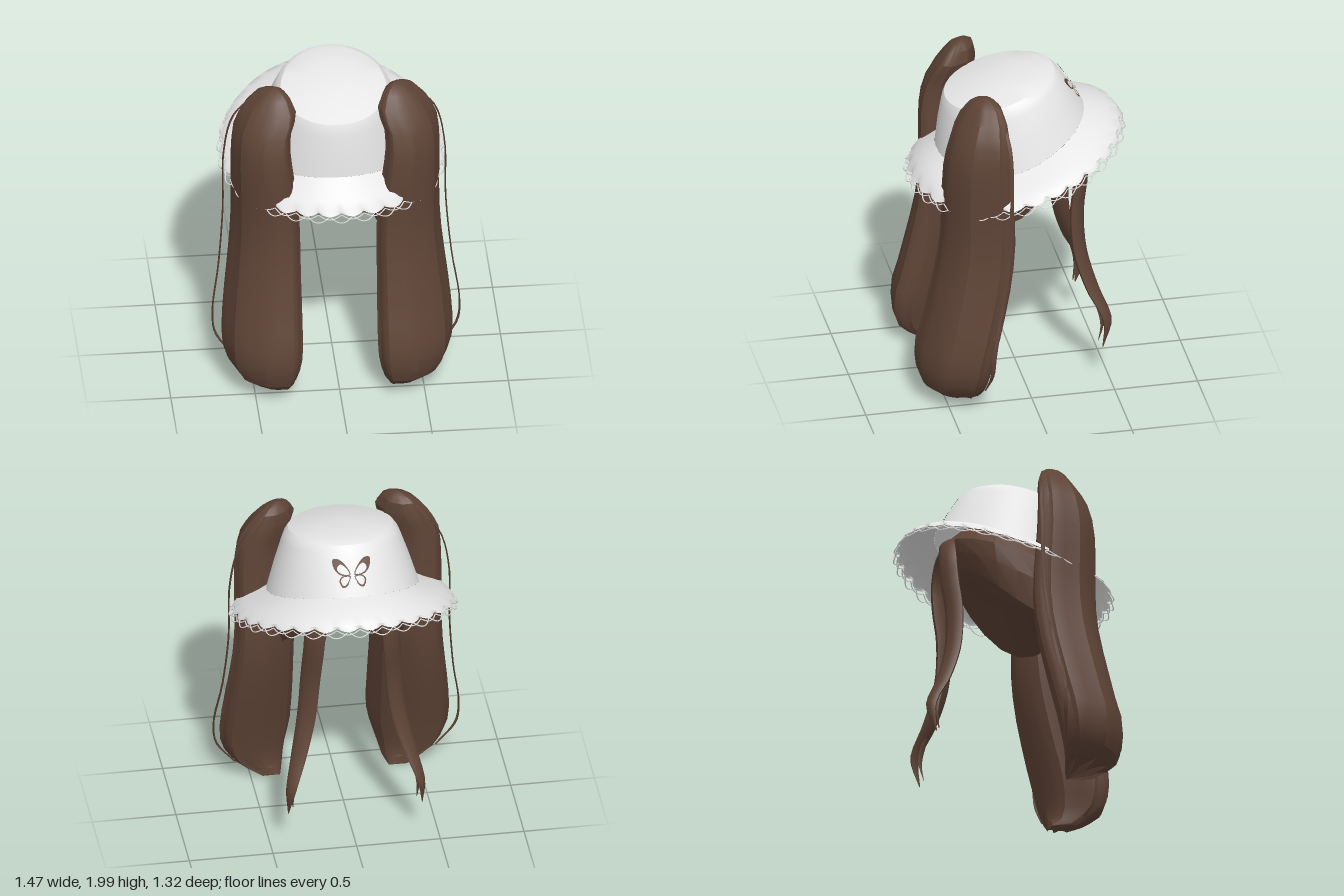
import * as THREE from 'three';
import { toCreasedNormals } from 'three/addons/utils/BufferGeometryUtils.js';

const TAU = Math.PI * 2;

// Skin between closed cross-sections listed from top to bottom; side -1 mirrors in x.
function loft(rings, crease = 0.5, side = 1) {
  const pos = [];
  const tri = (a, b, c) => {
    if (a.distanceTo(b) < 1e-5 || b.distanceTo(c) < 1e-5 || a.distanceTo(c) < 1e-5) return;
    for (const p of side > 0 ? [a, b, c] : [a, c, b]) pos.push(p.x * side, p.y, p.z);
  };
  for (let r = 0; r < rings.length - 1; r++) {
    const up = rings[r], low = rings[r + 1], n = up.length;
    for (let i = 0; i < n; i++) {
      const j = (i + 1) % n;
      tri(up[i], up[j], low[i]);
      tri(up[j], low[j], low[i]);
    }
  }
  const g = new THREE.BufferGeometry();
  g.setAttribute('position', new THREE.Float32BufferAttribute(pos, 3));
  g.computeVertexNormals();
  return toCreasedNormals(g, crease);
}

// Point on a tilted oval: [zFront, yFront, zBack, yBack, halfWidth, sideSag]
function ovalPoint([zf, yf, zb, yb, rx, sag], t, out = 0, drop = 0) {
  const c = Math.cos(t), s = Math.sin(t);
  return new THREE.Vector3(
    (rx + out) * s,
    (yf + yb) / 2 + (yf - yb) / 2 * c - sag * s * s * (1 - 0.5 * c) - drop,
    (zf + zb) / 2 + ((zf - zb) / 2 - out) * c);
}

function ovalRing(spec, n, scallop = 0, drop = 0) {
  return Array.from({ length: n }, (_, i) => {
    const t = i / n * TAU, w = Math.abs(Math.sin(t * 15));
    return ovalPoint(spec, t, w * scallop, drop * (0.5 + w * 0.5));
  });
}

// Horizontal rings for slim locks: [x, y, z, halfX, halfZ]; skew flattens them on the diagonal
function lockRings(path, skew = 0, n = 10) {
  const curve = new THREE.CatmullRomCurve3(path.map(p => new THREE.Vector3(p[0], p[1], p[2])));
  const steps = 30;
  return Array.from({ length: steps + 1 }, (_, k) => {
    const f = k / steps * (path.length - 1), a = Math.min(Math.floor(f), path.length - 2), u = f - a;
    const c = curve.getPoint(k / steps);
    const hx = THREE.MathUtils.lerp(path[a][3], path[a + 1][3], u);
    const hz = THREE.MathUtils.lerp(path[a][4], path[a + 1][4], u);
    return Array.from({ length: n }, (_, i) => {
      const t = i / n * TAU;
      return new THREE.Vector3(c.x + hx * Math.sin(t), c.y, c.z - hz * Math.cos(t + skew));
    });
  });
}

// Pigtail sections: [y, xInner, xOuter, zFront, zBack]
const TAIL = [
  [1.995, 0.335, 0.385, 0.225, 0.265], [1.98, 0.305, 0.425, 0.195, 0.305], [1.95, 0.275, 0.47, 0.165, 0.34],
  [1.88, 0.245, 0.535, 0.145, 0.39], [1.82, 0.255, 0.57, 0.14, 0.425], [1.75, 0.28, 0.6, 0.138, 0.455],
  [1.65, 0.285, 0.612, 0.134, 0.485], [1.55, 0.275, 0.617, 0.13, 0.5], [1.4, 0.255, 0.617, 0.12, 0.505],
  [1.25, 0.238, 0.615, 0.11, 0.505], [1.1, 0.23, 0.617, 0.108, 0.51], [0.95, 0.228, 0.626, 0.12, 0.527],
  [0.8, 0.228, 0.642, 0.143, 0.556], [0.65, 0.226, 0.66, 0.175, 0.59], [0.5, 0.225, 0.675, 0.21, 0.625],
  [0.38, 0.225, 0.682, 0.24, 0.66], [0.28, 0.23, 0.676, 0.262, 0.668], [0.2, 0.245, 0.65, 0.28, 0.66],
  [0.13, 0.265, 0.605, 0.295, 0.635], [0.075, 0.283, 0.535, 0.305, 0.575], [0.035, 0.3, 0.45, 0.312, 0.48],
];

function tailRings() {
  const n = 32, skew = -0.48; // sections lean from inner back to outer front
  const soft = v => Math.sign(v) * Math.pow(Math.abs(v), 0.85);
  const rings = TAIL.map(([y, xi, xo, zf, zb], r) => Array.from({ length: n }, (_, i) => {
    const t = i / n * TAU;
    const k = 1.015 - 0.06 * (i % 4) / 3; // stepped, overlapping locks
    const jag = r === TAIL.length - 1 ? (i % 4) * 0.012 - 0.015 : 0; // ragged ends
    return new THREE.Vector3(
      (xi + xo) / 2 + (xo - xi) / 2 * soft(Math.sin(t)) * k,
      y + jag,
      (zf + zb) / 2 - (zb - zf) / 2 * soft(Math.cos(t + skew)) * k);
  }));
  const cap = (x, y, z) => Array.from({ length: n }, () => new THREE.Vector3(x, y, z));
  return [cap(0.36, 2.0, 0.245), ...rings, cap(0.325, 0.01, 0.33)];
}

// Wing outline drawn flat, with a hole so that only the border is coloured
function wingGeometry(outer, inner, side) {
  const loop = pts => new THREE.CatmullRomCurve3(
    pts.map(p => new THREE.Vector3(p[0] * side, p[1], 0)), true).getPoints(28)
    .map(p => new THREE.Vector2(p.x, p.y));
  const shape = new THREE.Shape(loop(outer));
  shape.holes.push(new THREE.Path(loop(inner)));
  const g = new THREE.ShapeGeometry(shape);
  const p = g.attributes.position;
  // lay the plate on the sloping, curved crown
  for (let i = 0; i < p.count; i++) {
    const u = p.getX(i), v = p.getY(i);
    p.setXYZ(i, u, 1.832 + v * 0.85, -0.343 + v * 0.54 + 1.25 * u * u);
  }
  g.computeVertexNormals();
  return g;
}

export function createModel() {
  const model = new THREE.Group();
  const mat = (name, color) => {
    const m = new THREE.MeshStandardMaterial({ color, side: THREE.DoubleSide });
    m.name = name;
    return m;
  };
  const white = mat('hatWhite', 0xe6e6e6);
  const brown = mat('hairBrown', 0x5e4336);
  const add = (name, geometry, material) => {
    const mesh = new THREE.Mesh(geometry, material);
    mesh.name = name;
    model.add(mesh);
  };

  // Hat: crown, flared brim with scalloped lip, and lace loops
  const base = [-0.41, 1.71, 0.47, 1.49, 0.45, 0.08];
  const edge = [-0.615, 1.645, 0.615, 1.345, 0.64, 0.068];
  add('hatCrown', loft([
    [0.1, 1.94, 0.1, 1.94, 0, 0],
    [-0.05, 1.967, 0.27, 1.89, 0.17, 0],
    [-0.19, 1.977, 0.418, 1.825, 0.312, 0.01],
    [-0.235, 1.967, 0.43, 1.795, 0.335, 0.015],
    [-0.265, 1.94, 0.438, 1.75, 0.354, 0.025],
    [-0.337, 1.83, 0.455, 1.64, 0.4, 0.05],
    base].map(s => ovalRing(s, 48)), 0.5), white);
  add('hatBrim', loft([
    ...[base, [-0.47, 1.697, 0.53, 1.44, 0.515, 0.082], [-0.55, 1.675, 0.585, 1.392, 0.585, 0.075], edge]
      .map(s => ovalRing(s, 240)),
    ovalRing(edge, 240, 0.02, 0.028)], 0.7), white);
  for (const [phase, out, drop] of [[0, 0.022, 0.045], [Math.PI / 2, 0.033, 0.06]]) {
    const pts = Array.from({ length: 240 }, (_, i) => {
      const t = i / 240 * TAU, w = Math.abs(Math.sin(t * 15 + phase));
      return ovalPoint(edge, t, out * (0.4 + w * 0.7), drop * (0.5 + w * 0.5));
    });
    add('laceLoops', new THREE.TubeGeometry(new THREE.CatmullRomCurve3(pts, true), 360, 0.004, 4, true), white);
  }

  // Hair cap under the hat, closed below with a gently rounded face side
  add('hairCap', loft([
    [0.06, 1.74, 0.06, 1.74, 0, 0],
    [-0.27, 1.71, 0.34, 1.6, 0.31, 0.03],
    [-0.38, 1.61, 0.42, 1.42, 0.41, 0.06],
    [-0.36, 1.54, 0.42, 1.29, 0.41, 0.1],
    [-0.3, 1.46, 0.36, 1.165, 0.36, 0.16],
    [-0.17, 1.375, 0.22, 1.19, 0.21, 0.07],
    [0.02, 1.27, 0.02, 1.27, 0, 0]].map(s => ovalRing(s, 20)), 0.3), brown);

  // Pigtails, loose wisps and face-framing locks on both sides
  const tail = tailRings();
  const wisp = lockRings([
    [0.48, 1.9, 0.17, 0.004, 0.008], [0.6, 1.75, 0.15, 0.005, 0.012], [0.655, 1.5, 0.15, 0.005, 0.012],
    [0.66, 1.13, 0.16, 0.005, 0.012], [0.69, 0.76, 0.21, 0.005, 0.012], [0.732, 0.46, 0.27, 0.005, 0.014],
    [0.715, 0.31, 0.28, 0.007, 0.012], [0.6, 0.15, 0.3, 0.006, 0.004]], 0, 6);
  const lock = lockRings([
    [0.02, 1.64, -0.31, 0.05, 0.035], [0.13, 1.6, -0.35, 0.065, 0.04], [0.215, 1.47, -0.36, 0.06, 0.05],
    [0.235, 1.3, -0.35, 0.057, 0.052], [0.25, 1.1, -0.325, 0.055, 0.05], [0.275, 0.85, -0.337, 0.052, 0.047],
    [0.33, 0.62, -0.4, 0.042, 0.042], [0.39, 0.42, -0.48, 0.026, 0.03], [0.4, 0.25, -0.45, 0.002, 0.003]], 0.7);
  const split = lockRings([
    [0.3, 0.75, -0.36, 0.02, 0.02], [0.35, 0.55, -0.42, 0.02, 0.018],
    [0.375, 0.4, -0.45, 0.014, 0.014], [0.37, 0.28, -0.43, 0.002, 0.002]], 0.7, 6);
  for (const [label, side] of [['left', 1], ['right', -1]]) {
    add(label + 'Pigtail', loft(tail, 0.4, side), brown);
    add(label + 'Wisp', loft(wisp, 0.8, side), brown);
    add(label + 'FaceLock', loft(lock, 0.9, side), brown);
    add(label + 'FaceLockSplit', loft(split, 0.9, side), brown);
    // Butterfly ornament, heaviest at the upper wing tips
    add(label + 'UpperWing', wingGeometry(
      [[0.012, -0.005], [0.035, 0.05], [0.08, 0.09], [0.11, 0.085], [0.105, 0.03], [0.07, -0.005]],
      [[0.018, 0.0], [0.041, 0.043], [0.066, 0.058], [0.082, 0.048], [0.088, 0.025], [0.064, 0.002]], side), brown);
    add(label + 'LowerWing', wingGeometry(
      [[0.012, -0.012], [0.06, -0.012], [0.08, -0.04], [0.062, -0.08], [0.035, -0.07], [0.02, -0.04]],
      [[0.018, -0.017], [0.056, -0.018], [0.071, -0.04], [0.058, -0.068], [0.041, -0.062], [0.026, -0.04]], side), brown);
  }
  return model;
}
